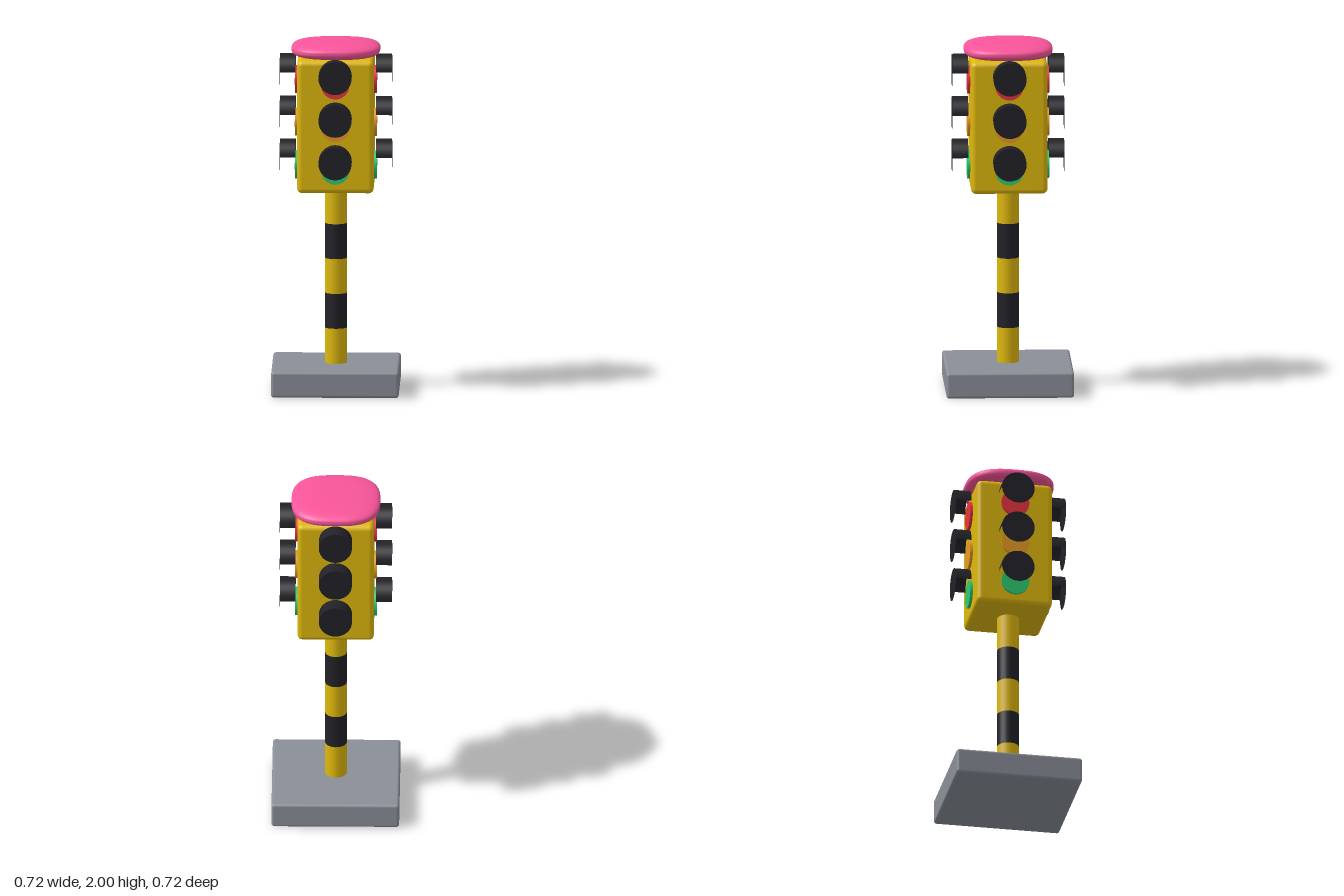
import * as THREE from 'three';
import { RoundedBoxGeometry } from 'three/addons/geometries/RoundedBoxGeometry.js';

const mat = (color, extra = {}) => new THREE.MeshStandardMaterial({ color, ...extra });
const yellow = mat(0xe0b90c);
const black = mat(0x222127);
const blackThin = mat(0x222127, { side: THREE.DoubleSide });
const grey = mat(0x8a8f98);
const pink = mat(0xf9559a);

function add(parent, name, geometry, material, x = 0, y = 0, z = 0) {
  const mesh = new THREE.Mesh(geometry, material);
  mesh.name = name;
  mesh.position.set(x, y, z);
  parent.add(mesh);
  return mesh;
}

// Pillow shape: a subdivided box pushed onto a superellipsoid
function pillowGeometry(rx, ry, rz, power) {
  const sphere = new THREE.SphereGeometry(1, 64, 40);
  const pos = sphere.attributes.position;
  const normal = sphere.attributes.normal;
  const v = new THREE.Vector3();
  const bend = (t) => Math.sign(t) * Math.abs(t) ** (power - 1);
  for (let i = 0; i < pos.count; i++) {
    v.fromBufferAttribute(pos, i);
    const norm = (Math.abs(v.x) ** power + Math.abs(v.y) ** power + Math.abs(v.z) ** power) ** (1 / power);
    v.divideScalar(norm);
    pos.setXYZ(i, v.x * rx, v.y * ry, v.z * rz);
    v.set(bend(v.x) / rx, bend(v.y) / ry, bend(v.z) / rz).normalize();
    normal.setXYZ(i, v.x, v.y, v.z);
  }
  return sphere;
}

// One face of the head: three lamps, each under a half-round hood with a full front disc
function createLampFace() {
  const face = new THREE.Group();
  face.name = 'lampFace';
  const lampGeo = new THREE.CylinderGeometry(0.08, 0.08, 0.035, 32).rotateX(Math.PI / 2);
  const hoodGeo = new THREE.CylinderGeometry(0.094, 0.094, 0.09, 16, 1, true, Math.PI / 2, Math.PI).rotateX(Math.PI / 2);
  const discGeo = new THREE.CircleGeometry(0.094, 32);
  const lamps = [
    ['redLamp', 0xe8343f, 1.775],
    ['amberLamp', 0xe89a24, 1.53],
    ['greenLamp', 0x2ecc71, 1.285],
  ];
  for (const [name, color, y] of lamps) {
    add(face, name, lampGeo, mat(color), 0, y, 0.215);
    add(face, 'hood', hoodGeo, blackThin, 0, y + 0.053, 0.273);
    add(face, 'hoodDisc', discGeo, blackThin, 0, y + 0.053, 0.318);
  }
  return face;
}

export function createModel() {
  const model = new THREE.Group();
  model.name = 'trafficLight';

  // Base slab
  add(model, 'base', new RoundedBoxGeometry(0.724, 0.148, 0.724, 3, 0.016), grey, 0, 0.074, 0);

  // Striped pole
  const pole = new THREE.Group();
  pole.name = 'pole';
  const bandGeo = new THREE.CylinderGeometry(0.062, 0.062, 0.2, 24);
  for (let i = 0; i < 5; i++) {
    add(pole, i % 2 ? 'blackBand' : 'yellowBand', bandGeo, i % 2 ? black : yellow, 0, 0.25 + i * 0.2, 0);
  }
  add(pole, 'poleFoot', new THREE.CylinderGeometry(0.062, 0.062, 0.05, 24), yellow, 0, 0.14, 0);
  model.add(pole);

  // Head and roof
  add(model, 'head', new RoundedBoxGeometry(0.434, 0.76, 0.434, 3, 0.028), yellow, 0, 1.53, 0);
  add(model, 'roof', pillowGeometry(0.252, 0.047, 0.252, 2.8), pink, 0, 1.953, 0);

  // Lamps on all four sides
  for (let i = 0; i < 4; i++) {
    const face = createLampFace();
    face.rotation.y = (i * Math.PI) / 2;
    model.add(face);
  }
  return model;
}
